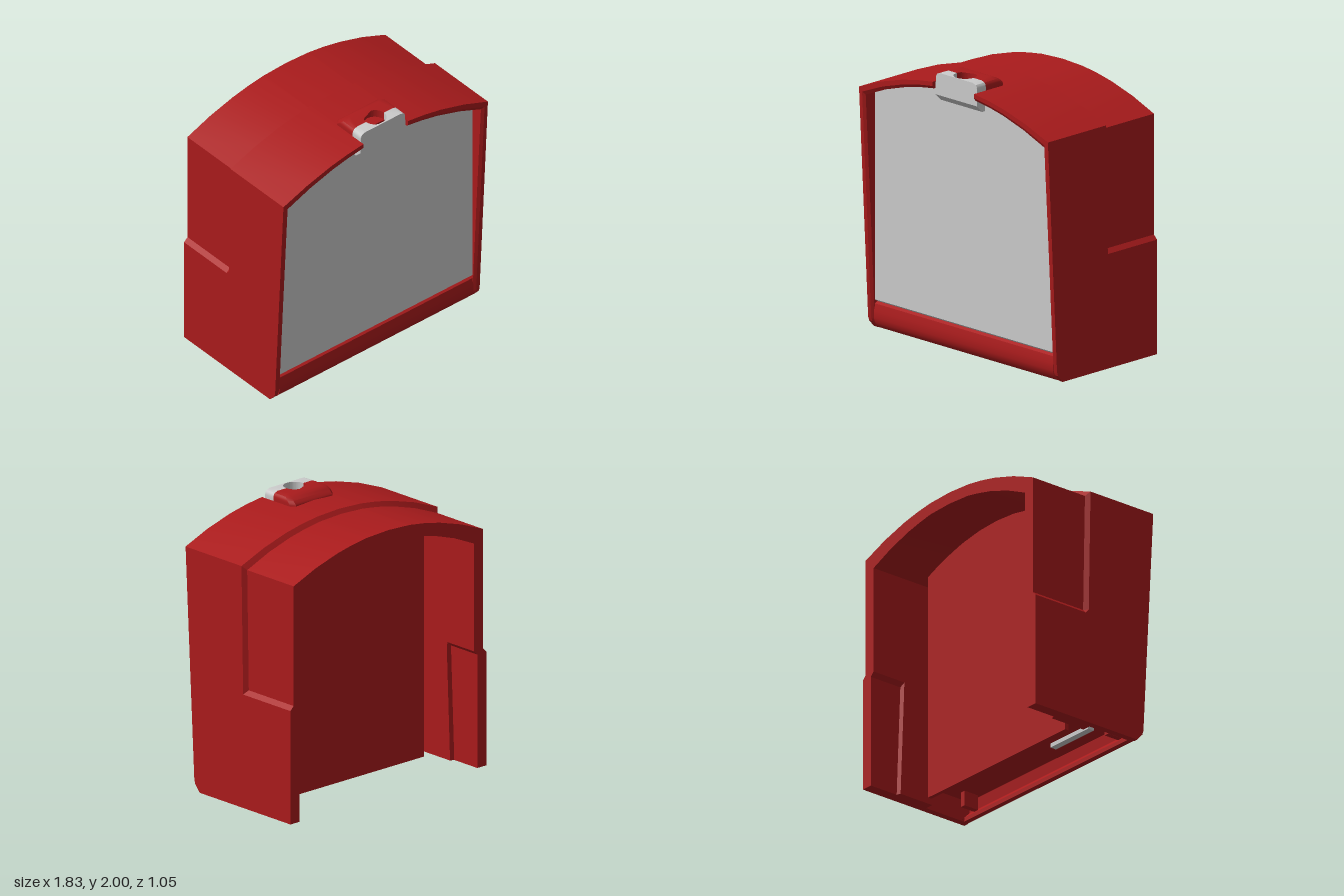
import * as THREE from 'three';
import { toCreasedNormals } from 'three/addons/utils/BufferGeometryUtils.js';

const W = 0.915, SHOULDER = 1.745, RISE = 0.2, NOTCH = 0.2 / W;
const red = new THREE.MeshStandardMaterial({ color: 0xaa1b1c });
const grey = new THREE.MeshStandardMaterial({ color: 0xcccccc });

const archY = (u, inset) => SHOULDER + RISE * (1 - u * u) - inset;

// Front edge depth: rounded toe, then leaning forward up to the shoulder
function frontZ(y) {
  if (y < 0.05) return 0.385 + y * 0.9;
  if (y < 0.08) return 0.43 + (y - 0.05) / 3;
  return 0.44 + 0.09 * Math.min(1, (y - 0.08) / 1.7);
}

// Path up one side, over the arch and down the other
function shellPath() {
  const side = [0, 0.05, 0.08, 0.82, 0.85];
  const arch = [1, 0.77, 0.54, 0.38, NOTCH + 1e-4, NOTCH - 1e-4];
  const half = [...side.map(y => ({ u: 1, y })), ...arch.map(u => ({ u }))];
  const other = half.map(p => ({ ...p, u: -p.u })).reverse();
  return [...half, { u: 0 }, ...other];
}

// Wall section [inset, z] at one path point; the upper rear is stepped inward
function wallSection(p) {
  const y = p.y ?? archY(p.u, 0);
  const s = y > 0.83 ? 0.03 : 0;
  const f = Math.abs(p.u) < NOTCH ? 0.42 : frontZ(y);
  const step = -0.05 + 0.018 * (y - 0.83);
  const recess = -0.26 + 0.04 * (Math.min(y, 0.85) - 0.83);
  return [[0, f], [0, step], [s, step - 0.025], [s, -0.525],
    [s + 0.085, -0.525], [s + 0.085, recess], [0.115, recess + 0.01], [0.115, 0],
    [0.05, 0], [0.05, f - 0.015], [0.03, f]];
}

function shellGeometry() {
  const path = shellPath(), pos = [], idx = [];
  const n = wallSection(path[0]).length;
  for (const p of path) {
    for (const [inset, z] of wallSection(p)) {
      // The notch keeps its width through the wall
      const w = Math.abs(p.u) < 0.25 ? W : W - inset;
      pos.push(p.u * w, p.y ?? archY(p.u, inset), z);
    }
  }
  for (let j = 0; j < path.length - 1; j++) {
    for (let k = 0; k < n; k++) {
      const a = j * n + k, d = j * n + (k + 1) % n, b = a + n, c = d + n;
      idx.push(a, d, c, a, c, b);
    }
  }
  // Feet of the two walls, turned to face down
  for (const start of [0, (path.length - 1) * n]) {
    const pts = [];
    for (let k = 0; k < n; k++) pts.push(new THREE.Vector2(pos[(start + k) * 3], pos[(start + k) * 3 + 2]));
    for (const [a, b, c] of THREE.ShapeUtils.triangulateShape(pts, [])) {
      const area = (pts[b].x - pts[a].x) * (pts[c].y - pts[a].y) - (pts[b].y - pts[a].y) * (pts[c].x - pts[a].x);
      if (area > 0) idx.push(start + a, start + b, start + c);
      else idx.push(start + a, start + c, start + b);
    }
  }
  const g = new THREE.BufferGeometry();
  g.setAttribute('position', new THREE.Float32BufferAttribute(pos, 3));
  g.setIndex(idx);
  return toCreasedNormals(g, 0.4);
}

// Flat board with an arched top; reach below 1 leaves a gap at each side
function archBoard(inset, bottom, depth, reach) {
  const w = W - inset;
  const pts = [new THREE.Vector2(-w * reach, bottom), new THREE.Vector2(w * reach, bottom)];
  for (let i = 0; i <= 8; i++) {
    const u = reach * (1 - i / 4);
    pts.push(new THREE.Vector2(u * w, archY(u, inset)));
  }
  return new THREE.ExtrudeGeometry(new THREE.Shape(pts), { depth, bevelEnabled: false });
}

// Side profile of [z, y] points swept across x
function acrossX(points, width) {
  const shape = new THREE.Shape(points.map(([z, y]) => new THREE.Vector2(-z, y)));
  const g = new THREE.ExtrudeGeometry(shape, { depth: width, bevelEnabled: false });
  g.translate(0, 0, -width / 2).rotateY(Math.PI / 2);
  return toCreasedNormals(g, 0.6);
}

function moveVertices(g, rule) {
  const p = g.attributes.position, v = new THREE.Vector3();
  for (let i = 0; i < p.count; i++) {
    v.fromBufferAttribute(p, i);
    rule(v);
    p.setXYZ(i, v.x, v.y, v.z);
  }
  return toCreasedNormals(g, 0.5);
}

// Half of the latch top in plan, with its share of the round hole
function latchHalf(zEnd) {
  const seam = 0.415, r = 0.08, back = zEnd < seam;
  const corner = back ? 0.03 : -0.002;
  const shape = new THREE.Shape();
  shape.moveTo(-0.2, -seam);
  shape.lineTo(-r, -seam);
  shape.absarc(0, -seam, r, Math.PI, back ? 0 : 2 * Math.PI, back);
  shape.lineTo(0.2, -seam);
  shape.lineTo(0.2, -zEnd - corner);
  shape.lineTo(0.2 - Math.abs(corner), -zEnd);
  shape.lineTo(-0.2 + Math.abs(corner), -zEnd);
  shape.lineTo(-0.2, -zEnd - corner);
  shape.closePath();
  const g = new THREE.ExtrudeGeometry(shape, { depth: 0.12, steps: 12, bevelEnabled: false, curveSegments: 16 });
  g.rotateX(-Math.PI / 2).translate(0, 1.88, 0);
  // Round the upper side edges and slope the rear
  return moveVertices(g, v => {
    const t = Math.min(1, Math.max(0, (v.y - 1.96) / 0.04));
    const round = 0.04 * (1 - Math.sqrt(1 - t * t));
    if (Math.abs(v.x) > 0.16) v.x -= Math.sign(v.x) * round;
    if (v.z < 0.27) v.z += Math.max(0, v.y - 1.945) + 0.6 * round;
  });
}

export function createModel() {
  const model = new THREE.Group();
  const add = (name, geometry, material, x = 0, y = 0, z = 0) => {
    const m = new THREE.Mesh(geometry, material);
    m.name = name;
    m.position.set(x, y, z);
    model.add(m);
  };

  add('shell', shellGeometry(), red);
  add('partition', archBoard(0.115, 0, 0.03, 0.906), red, 0, 0, -0.1);

  // Upright front panel with a bevelled lower edge
  const panel = moveVertices(archBoard(0.048, 0.2, 0.03, 1), v => {
    if (v.y < 0.3) v.y += v.z > 0.01 ? 0.01 : -0.01;
  });
  add('frontPanel', panel, grey, 0, 0, 0.395);

  // Rounded lip under the panel
  add('bottomLip', acrossX([[0.4, 0.192], [0.422, 0.18], [0.431, 0.13], [0.432, 0.08], [0.422, 0.045],
    [0.4, 0.015], [0.38, 0], [0.34, 0], [0.34, 0.03], [0.39, 0.08], [0.38, 0.18]], 1.735), red);

  // Floor of the cavity with its brackets and rail
  add('cavityFloor', new THREE.BoxGeometry(1.73, 0.02, 0.4), red, 0, 0.17, 0.2);
  add('cavityRail', new THREE.BoxGeometry(0.4, 0.03, 0.05), grey, -0.42, 0.145, 0.22);
  for (const s of [-1, 1]) {
    add('cavityBracket', new THREE.BoxGeometry(0.04, 0.12, 0.12), red, s * 0.76, 0.11, 0.3);
    add('lipEnd', new THREE.BoxGeometry(0.02, 0.11, 0.06), red, s * 0.872, 0.065, 0.35);
  }

  // Latch: red rear bump, grey front block and its hooked foot
  add('latchBump', latchHalf(0.22), red);
  add('latchTop', latchHalf(0.5), grey);
  add('latchFoot', acrossX([[0.5, 1.84], [0.5, 1.93], [0.4, 1.93], [0.4, 1.79], [0.45, 1.79]], 0.4), grey);
  return model;
}
